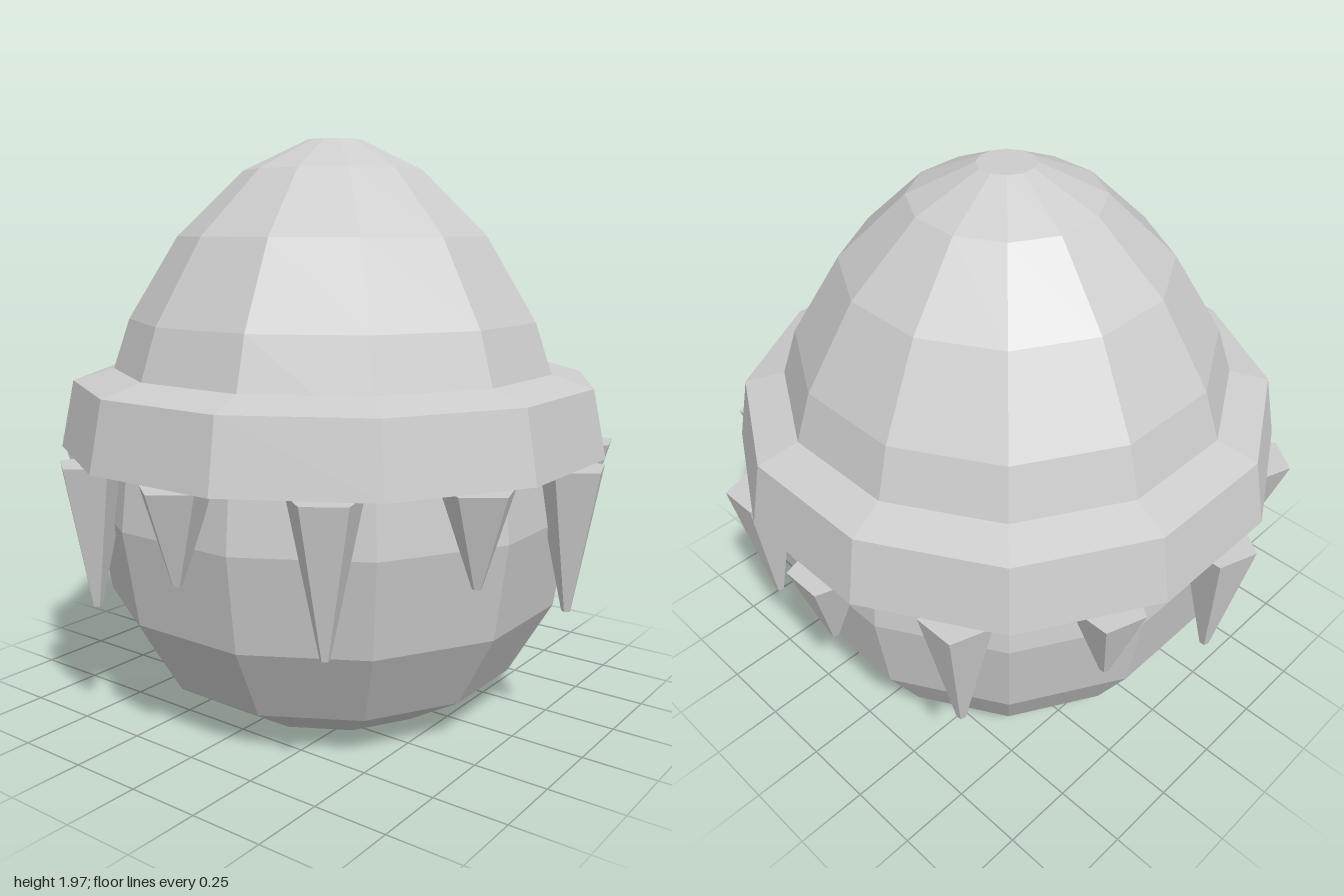
import * as THREE from 'three';

export function createModel() {
  const group = new THREE.Group();
  const grey = new THREE.MeshStandardMaterial({ color: 0xcccccc });
  grey.name = 'lightGrey';
  grey.flatShading = true;

  const SIDES = 12;
  const centreZ = -0.015;
  const toCorner = 1 / Math.cos(Math.PI / SIDES); // flat-to-centre distance -> corner radius

  // Twelve-sided turned part, profile given as [flat distance, height] from bottom to top
  function turned(name, profile) {
    const points = profile.map(([d, y]) => new THREE.Vector2(d * toCorner, y));
    const mesh = new THREE.Mesh(new THREE.LatheGeometry(points, SIDES, Math.PI / SIDES), grey);
    mesh.name = name;
    mesh.position.z = centreZ;
    group.add(mesh);
  }

  // Egg-shaped body with flat bottom and top
  turned('body', [
    [0, 0], [0.41, 0], [0.63, 0.14], [0.775, 0.4], [0.825, 0.72], [0.79, 1.05],
    [0.69, 1.36], [0.525, 1.64], [0.305, 1.86], [0.092, 1.965], [0, 1.965],
  ]);

  // Band around the middle
  turned('rim', [[0.8, 0.89], [0.925, 0.92], [0.88, 1.15], [0.745, 1.19]]);

  // Hanging five-sided spikes, alternately short and long, all facing the same way
  const topY = 0.92;
  for (let i = 0; i < 12; i++) {
    const angle = THREE.MathUtils.degToRad(5 + i * 30);
    const length = i % 2 ? 0.48 : 0.3;
    const spike = new THREE.Mesh(new THREE.CylinderGeometry(0.12, 0.016, length, 5), grey);
    spike.name = i % 2 ? 'longSpike' : 'shortSpike';
    spike.position.set(0.887 * Math.sin(angle), topY - length / 2, centreZ + 0.887 * Math.cos(angle));
    group.add(spike);
  }
  return group;
}
